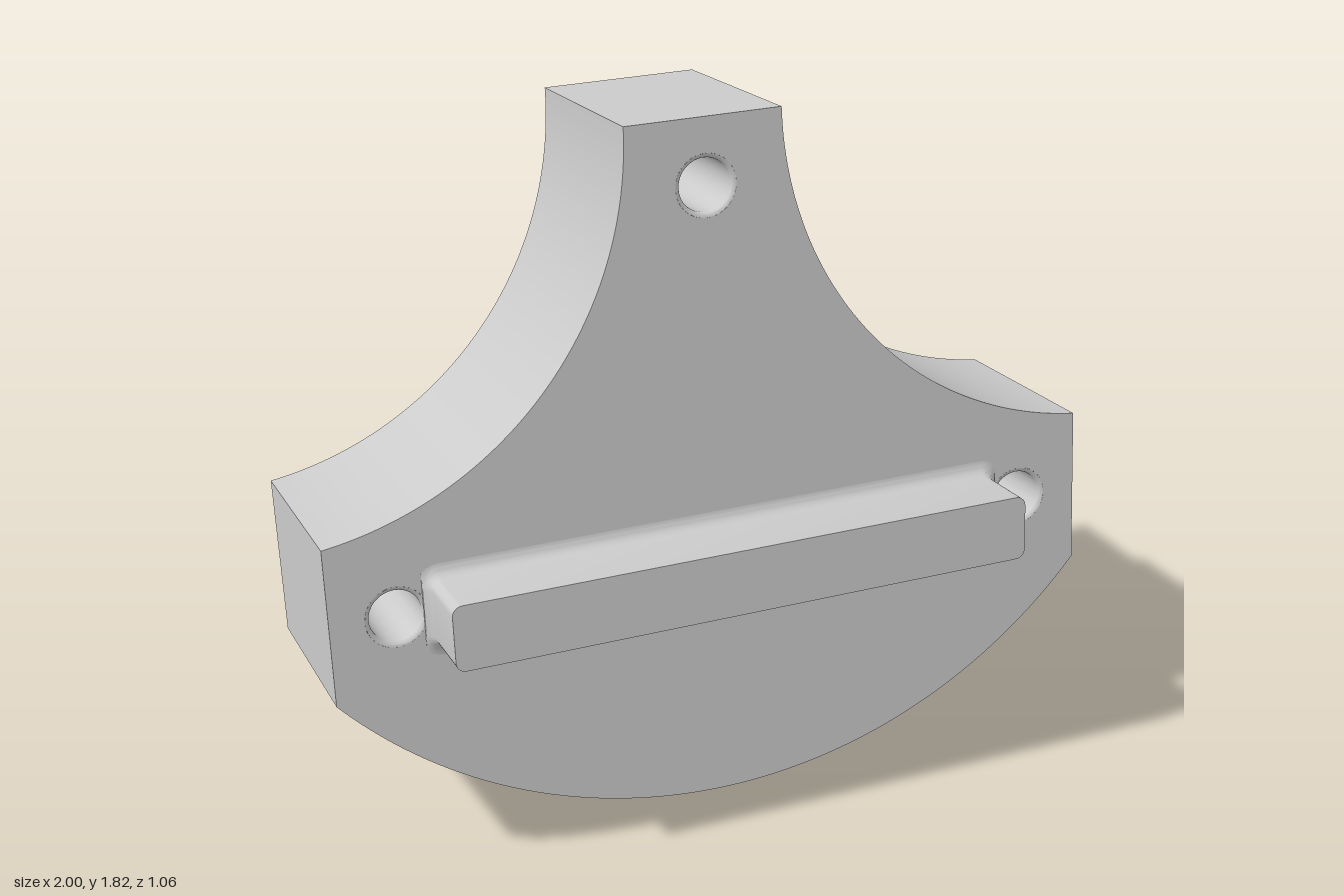
import * as THREE from 'three';
import { toCreasedNormals } from 'three/addons/utils/BufferGeometryUtils.js';

const TILT = 0.138;     // backward lean of the whole piece
const HALF = 0.255;     // half thickness of the plate at its foot
const RIB_TOP = 0.442;  // outer face of the ribs, from the mid plane
const HOLES = [[0, 1.614], [-0.835, 0.672], [0.835, 0.672]];
const HOLE_R = 0.066, RIM = 0.012;

const material = new THREE.MeshStandardMaterial({ color: 0xcccccc });

// Thickness grows evenly with height, then sharp edges are kept crisp
function finish(geometry, name) {
  const p = geometry.attributes.position;
  for (let i = 0; i < p.count; i++) {
    p.setZ(i, 0.1625 + p.getZ(i) * (1 + 0.068 * (p.getY(i) - 0.023)));
  }
  geometry.deleteAttribute('normal');
  const mesh = new THREE.Mesh(toCreasedNormals(geometry, 0.5), material);
  mesh.name = name;
  return mesh;
}

// Plate outline: bowed foot, short upright sides, two concave shoulders
function plate() {
  const R = 1.34, foot = Math.asin(1 / R);
  const r = 0.913, cx = 1.113, cy = 1.78;
  const end = Math.acos((cx - 1) / r);
  const s = new THREE.Shape();
  s.absarc(0, 0.023 + R, R, -Math.PI / 2 - foot, -Math.PI / 2 + foot, false);
  s.absarc(cx, cy, r, Math.PI + end, Math.PI, true);
  s.absarc(-cx, cy, r, 0, -end, true);
  for (const [x, y] of HOLES) {
    const hole = new THREE.Path();
    hole.absarc(x, y, HOLE_R + RIM, 0, Math.PI * 2, true);
    s.holes.push(hole);
  }
  const g = new THREE.ExtrudeGeometry(s, { depth: 2 * HALF, bevelEnabled: false, curveSegments: 32 });
  g.translate(0, 0, -HALF);
  return finish(g, 'plate');
}

// Bore wall with a rounded lip at both faces
function bore(x, y) {
  const profile = [];
  for (const side of [1, -1]) {
    for (let i = 0; i <= 5; i++) {
      const a = (side > 0 ? i : 5 - i) / 5 * Math.PI / 2;
      profile.push(new THREE.Vector2(
        HOLE_R + RIM * (1 - Math.sin(a)),
        side * (HALF - RIM + RIM * Math.cos(a))));
    }
  }
  const g = new THREE.LatheGeometry(profile, 32);
  g.rotateX(Math.PI / 2);
  g.translate(x, y, 0);
  return finish(g, 'hole');
}

// Rounded bar rising from the plate with a concave fillet at its base
function rib(name, halfW, y0, y1, limit, back) {
  const corner = 0.025, fillet = 0.035, steps = 6;
  const cy = (y0 + y1) / 2, halfH = (y1 - y0) / 2;
  const levels = [];
  for (let i = 0; i <= steps; i++) {
    const a = i / steps * Math.PI / 2;
    levels.push([fillet * (1 - Math.sin(a)), HALF + fillet * (1 - Math.cos(a))]);
  }
  levels.push([0, RIB_TOP]);

  const pos = [], index = [], n = 4 * (steps + 1);
  for (const [offset, z] of levels) {
    for (let q = 0; q < 4; q++) {
      const sx = q === 0 || q === 3 ? 1 : -1, sy = q < 2 ? 1 : -1;
      for (let i = 0; i <= steps; i++) {
        const a = (q + i / steps) * Math.PI / 2;
        const x = sx * (halfW - corner) + (corner + offset) * Math.cos(a);
        const y = cy + sy * (halfH - corner) + (corner + offset) * Math.sin(a);
        pos.push(
          THREE.MathUtils.clamp(x, -limit.x, limit.x),
          THREE.MathUtils.clamp(y, limit.y0, limit.y1), z);
      }
    }
  }
  const top = (levels.length - 1) * n, centre = levels.length * n;
  pos.push(0, cy, RIB_TOP);
  for (let j = 0; j < n; j++) {
    const k = (j + 1) % n;
    for (let l = 0; l < top; l += n) {
      index.push(l + j, l + k, l + n + k, l + j, l + n + k, l + n + j);
    }
    index.push(top + j, top + k, centre);
  }
  const g = new THREE.BufferGeometry();
  g.setAttribute('position', new THREE.Float32BufferAttribute(pos, 3));
  g.setIndex(index);
  if (back) g.rotateY(Math.PI);
  return finish(g, name);
}

export function createModel() {
  const group = new THREE.Group();
  group.name = 'coupling plate';
  group.add(plate());
  for (const [x, y] of HOLES) group.add(bore(x, y));
  // Crosswise rib in front, upright rib behind
  group.add(rib('frontRib', 0.75, 0.586, 0.754, { x: 0.768, y0: 0, y1: 2 }, false));
  group.add(rib('backRib', 0.068, 0.044, 1.509, { x: 1, y0: 0.025, y1: 1.538 }, true));
  group.rotation.x = -TILT;
  return group;
}
